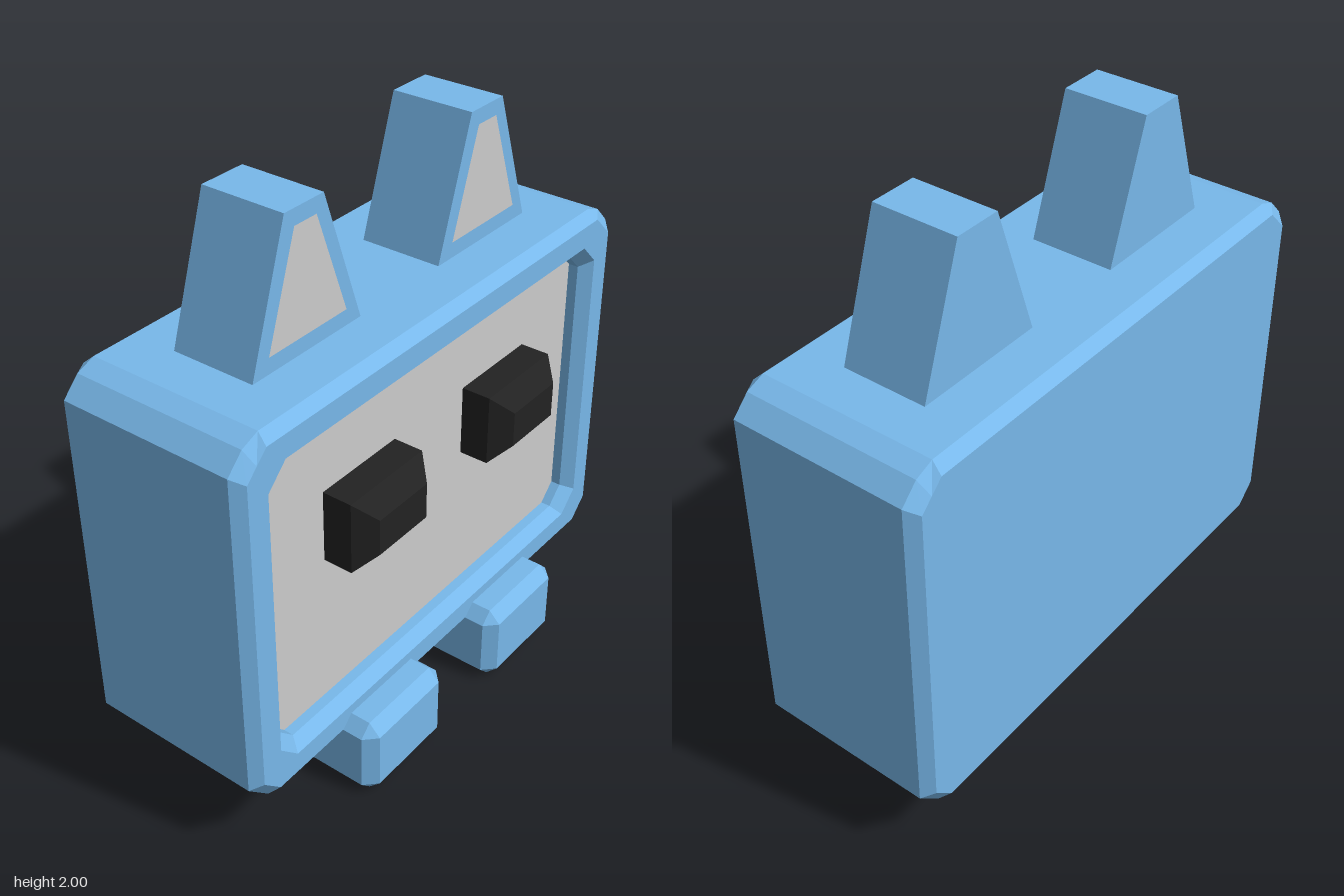
import * as THREE from 'three';
import { ConvexGeometry } from 'three/addons/geometries/ConvexGeometry.js';

const material = (color, extra = {}) =>
  new THREE.MeshStandardMaterial({ color, flatShading: true, ...extra });
const blue = material(0x78b8ea);
const grey = material(0xcccccc, { side: THREE.DoubleSide });
const black = material(0x222222);

function addMesh(parent, name, geometry, mat) {
  const mesh = new THREE.Mesh(geometry, mat);
  mesh.name = name;
  parent.add(mesh);
  return mesh;
}

// Skins outlines of equal point count, each { z, points }, from back to front.
function loft(rings, capFront) {
  const pos = [];
  const put = (p, z) => pos.push(p[0], p[1], z);
  const n = rings[0].points.length;
  for (let r = 0; r < rings.length - 1; r++) {
    const a = rings[r], b = rings[r + 1];
    for (let i = 0; i < n; i++) {
      const j = (i + 1) % n;
      put(a.points[i], a.z); put(a.points[j], a.z); put(b.points[j], b.z);
      put(a.points[i], a.z); put(b.points[j], b.z); put(b.points[i], b.z);
    }
  }
  const first = rings[0], last = rings[rings.length - 1];
  for (let i = 1; i < n - 1; i++) {
    for (const k of [0, i + 1, i]) put(first.points[k], first.z);
    if (capFront) for (const k of [0, i, i + 1]) put(last.points[k], last.z);
  }
  const geometry = new THREE.BufferGeometry();
  geometry.setAttribute('position', new THREE.Float32BufferAttribute(pos, 3));
  geometry.computeVertexNormals();
  return geometry;
}

// Counter-clockwise outline with cut corners; top corners carry a middle point.
function outline(w, y0, y1, cut, topCut = [cut, cut], mid = [cut / 2, cut / 2]) {
  const right = [
    [w - cut, y0], [w, y0 + cut], [w, y1 - topCut[1]],
    [w - mid[0], y1 - mid[1]], [w - topCut[0], y1],
  ];
  return [...right, ...right.map(([x, y]) => [-x, y]).reverse()];
}

const toShape = (points) => new THREE.Shape(points.map((p) => new THREE.Vector2(...p)));

const rectangle = (x0, x1, y0, y1) => [[x0, y0], [x1, y0], [x1, y1], [x0, y1]];

// Box with every edge and corner cut off.
function chamferedBox(w, h, d, c) {
  const points = [];
  for (const sx of [-1, 1]) for (const sy of [-1, 1]) for (const sz of [-1, 1]) {
    for (let axis = 0; axis < 3; axis++) {
      const p = [w / 2 - c, h / 2 - c, d / 2 - c];
      p[axis] += c;
      points.push(new THREE.Vector3(sx * p[0], sy * p[1], sz * p[2]));
    }
  }
  return new ConvexGeometry(points);
}

export function createModel() {
  const model = new THREE.Group();
  model.name = 'screenCreature';

  // Casing: bevelled back, walls, bevelled front rim and recessed opening
  const outer = outline(0.955, 0.215, 1.545, 0.085, [0.125, 0.085], [0.06, 0.025]);
  const inset = outline(0.92, 0.25, 1.513, 0.07, [0.082, 0.08], [0.041, 0.04]);
  const mouth = outline(0.84, 0.325, 1.435, 0.075);
  const inner = outline(0.802, 0.36, 1.4, 0.062);
  addMesh(model, 'casing', loft([
    { z: -0.4, points: inset },
    { z: -0.363, points: outer },
    { z: 0.25, points: outer },
    { z: 0.285, points: inset },
    { z: 0.285, points: mouth },
    { z: 0.245, points: inner },
    { z: 0.21, points: inner },
  ], false), blue);

  // Face panel at the bottom of the recess
  addMesh(model, 'facePanel', new THREE.ShapeGeometry(toShape(inner)), grey).position.z = 0.21;

  for (const side of [1, -1]) {
    const label = side > 0 ? 'left' : 'right';

    // Eye: block with a tapered front
    const eye = loft([
      { z: 0.2, points: rectangle(-0.173, 0.173, -0.125, 0.125) },
      { z: 0.313, points: rectangle(-0.173, 0.173, -0.125, 0.125) },
      { z: 0.375, points: rectangle(-0.115, 0.115, -0.063, 0.063) },
    ], true);
    addMesh(model, label + 'Eye', eye, black).position.set(side * 0.354, 1.025, 0);

    // Ear: tapered prism with a flat inner patch
    const ear = new THREE.Group();
    ear.name = label + 'Ear';
    ear.position.x = side * 0.434;
    model.add(ear);
    const earShape = toShape([[-0.24, 1.54], [0.24, 1.54], [0.083, 2], [-0.083, 2]]);
    const earBody = new THREE.ExtrudeGeometry(earShape, { depth: 0.295, bevelEnabled: false });
    addMesh(ear, 'earBody', earBody, blue).position.z = -0.203;
    const patch = toShape([[-0.17, 1.6], [0.17, 1.6], [0.047, 1.95], [-0.047, 1.95]]);
    addMesh(ear, 'innerEar', new THREE.ShapeGeometry(patch), grey).position.z = 0.095;

    // Foot
    addMesh(model, label + 'Foot', chamferedBox(0.404, 0.29, 0.375, 0.042), blue)
      .position.set(side * 0.341, 0.145, 0.2125);
  }
  return model;
}
